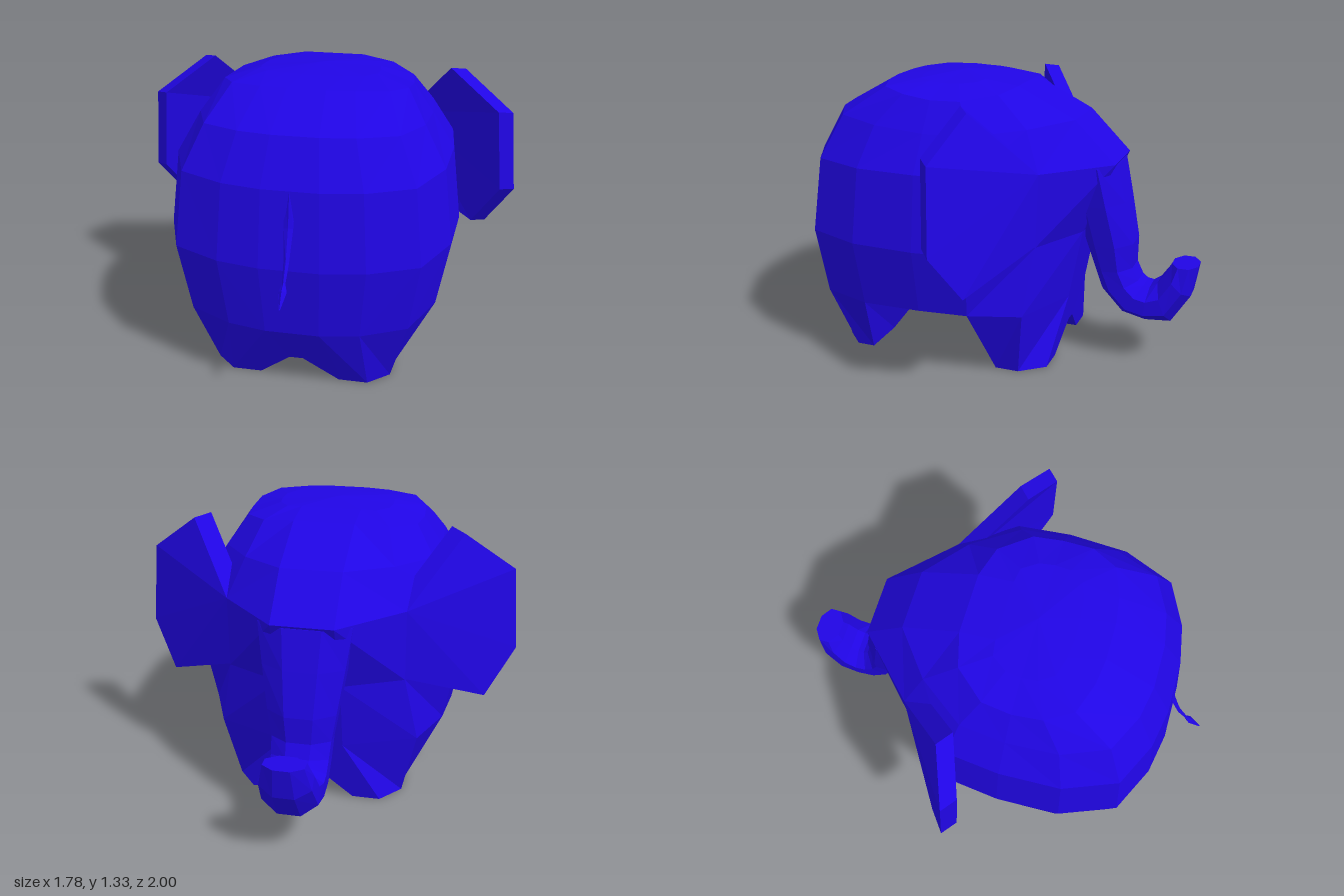
import * as THREE from 'three';

const hide = new THREE.MeshStandardMaterial({ color: 0x2005e4, flatShading: true });
hide.name = 'blueHide';

const V = (p) => new THREE.Vector3(...p);
const flip = ([x, y, z]) => [-x, y, z];
const average = (pts) => [0, 1, 2].map((k) => pts.reduce((s, p) => s + p[k], 0) / pts.length);

// Adds a polygon as a fan of triangles that face away from an inner point
function addFace(out, pts, inside) {
  const [a, c] = [V(pts[0]), V(inside)];
  for (let i = 1; i < pts.length - 1; i++) {
    const [b, d] = [V(pts[i]), V(pts[i + 1])];
    const n = b.clone().sub(a).cross(d.clone().sub(a));
    if (n.lengthSq() < 1e-12) continue;
    const outward = a.clone().add(b).add(d).divideScalar(3).sub(c);
    const tri = n.dot(outward) < 0 ? [a, d, b] : [a, b, d];
    tri.forEach((v) => out.push(v.x, v.y, v.z));
  }
}

// Adds a face and its mirror image
function addPair(out, pts, inside) {
  addFace(out, pts, inside);
  addFace(out, pts.map(flip), flip(inside));
}

function makeMesh(name, out) {
  const geometry = new THREE.BufferGeometry();
  geometry.setAttribute('position', new THREE.Float32BufferAttribute(out, 3));
  geometry.computeVertexNormals();
  const mesh = new THREE.Mesh(geometry, hide);
  mesh.name = name;
  return mesh;
}

// Closed tube through rings of equal length, capped at both ends
function loft(name, rings) {
  const out = [];
  for (let r = 0; r < rings.length - 1; r++) {
    const [a, b] = [rings[r], rings[r + 1]];
    const inside = average([...a, ...b]);
    a.forEach((p, i) => {
      const j = (i + 1) % a.length;
      addFace(out, [p, a[j], b[j], b[i]], inside);
    });
  }
  const last = rings.length - 1;
  addFace(out, rings[0], average(rings[1]));
  addFace(out, rings[last], average(rings[last - 1]));
  return makeMesh(name, out);
}

// Regular outline swept along sections of [frontZ, frontY, backZ, backY, halfWidth]
function sweep(name, sides, turn, scale, sections) {
  return loft(name, sections.map(([fz, fy, bz, by, w]) => Array.from({ length: sides }, (_, i) => {
    const angle = ((i + turn) / sides) * Math.PI * 2;
    const t = (Math.sin(angle) * scale + 1) / 2;
    return [Math.cos(angle) * scale * w, by + t * (fy - by), bz + t * (fz - bz)];
  })));
}

// Half ring of the body, from the middle of the rump to the middle of the face
const MID = 0.15;
const rumpCurve = [[0, 1], [.2, 1], [.49, .95], [.82, .8], [.98, .43], [1, 0]];
function bodyRing([backY, sideY, faceY, backZ, width, cheekX, cheekZ, faceZ]) {
  const rump = rumpCurve.map(([u, t]) => [u * width, sideY + t * (backY - sideY), MID + t * (backZ - MID)]);
  return [
    ...rump,
    [width * .96, sideY, (MID + cheekZ) / 2],
    [cheekX, (sideY + faceY) / 2, cheekZ],
    [.14, faceY, faceZ],
    [0, faceY, faceZ],
  ];
}

// Heights at rump, side and face, then rump z, half width, cheek x and z, face z
const bodyRings = [
  [.3, .32, .3, .8, .59, .47, -.3, -.42],
  [.62, .62, .63, .84, .65, .41, -.34, -.48],
  [.96, .96, .96, .8, .61, .41, -.35, -.62],
  [1.16, 1.12, 1.15, .7, .51, .34, -.27, -.43],
  [1.29, 1.25, 1.285, .47, .42, .29, -.12, -.16],
  [1.31, 1.3, 1.308, .32, .27, .21, .01, .0],
].map(bodyRing);
const hem = bodyRings[0];

// Points along the edge of the flat keel under the belly
const [keelBack, bellyBack, bellyFront, keelFront] = [.72, .41, -.08, -.39].map((z) => [.03, .13, z]);
const centre = ([, y, z]) => [0, y, z];

function makeBody() {
  const out = [];
  const core = [0, .7, .1];
  for (let r = 0; r < bodyRings.length - 1; r++) {
    const [a, b] = [bodyRings[r], bodyRings[r + 1]];
    for (let i = 0; i < a.length - 1; i++) addPair(out, [a[i], a[i + 1], b[i + 1], b[i]], core);
  }
  const top = bodyRings[bodyRings.length - 1];
  for (let i = 0; i < top.length - 1; i++) addPair(out, [[0, 1.325, MID], top[i], top[i + 1]], core);
  // Sloped belly, flat keel and the small panels between the legs
  addPair(out, [bellyBack, ...hem.slice(4, 7), bellyFront], core);
  addPair(out, [centre(keelBack), keelBack, keelFront, centre(keelFront)], core);
  addPair(out, [hem[0], hem[1], keelBack, centre(keelBack)], core);
  addPair(out, [hem[9], hem[8], keelFront, centre(keelFront)], core);
  return makeMesh('body', out);
}

// Leg rings: a chamfered foot, and the edge of the body above it
const footX = [.18, .4, .4, .31, .2, .18];
const footT = [0, 0, .5, 1, 1, 1];
const foot = (inner, outer) => footX.map((x, i) => [x, 0, inner + footT[i] * (outer - inner)]);
const legs = {
  hind: [foot(.49, .66), [bellyBack, hem[4], hem[3], hem[2], hem[1], keelBack]],
  fore: [foot(-.15, -.37), [bellyFront, hem[6], hem[7], hem[8], hem[8], keelFront]],
};

// Ear slab, spreading outwards and back from the cheek
const earFace = [[.41, .96, -.35], [.63, 1.255, -.11], [.86, 1.08, -.03],
  [.89, .7, -.04], [.76, .485, -.14], [.41, .63, -.34]];
const ear = [earFace, earFace.map(([x, y, z]) => [x - .065, y + .015, z + .055])];

export function createModel() {
  const model = new THREE.Group();
  model.name = 'elephant';
  model.add(makeBody());

  // Legs and ears on both sides
  for (const [side, place] of [['left', flip], ['right', (p) => p]]) {
    const put = (rings) => rings.map((ring) => ring.map(place));
    for (const kind of ['hind', 'fore']) model.add(loft(`${side} ${kind} leg`, put(legs[kind])));
    model.add(loft(`${side} ear`, put(ear)));
  }

  // Trunk, broad at the brow, hanging down and curling up at the tip
  model.add(sweep('trunk', 8, .5, 1.08, [
    [-.62, .95, -.4, .95, .21],
    [-.66, .77, -.43, .76, .185],
    [-.7, .57, -.475, .57, .155],
    [-.7, .45, -.52, .44, .135],
    [-.73, .39, -.56, .33, .13],
    [-.755, .37, -.66, .225, .13],
    [-.785, .365, -.77, .2, .13],
    [-.82, .39, -.89, .21, .125],
    [-.86, .45, -.975, .345, .115],
    [-.88, .49, -1, .49, .09],
  ]));

  // Thin tail with a pointed tuft
  model.add(sweep('tail', 4, 0, 1, [
    [.77, .95, .8, .96, .025],
    [.815, .8, .83, .81, .02],
    [.86, .67, .88, .68, .012],
    [.91, .595, .925, .61, .007],
    [.925, .565, .955, .59, .018],
    [.998, .524, 1, .527, .003],
  ]));

  return model;
}
